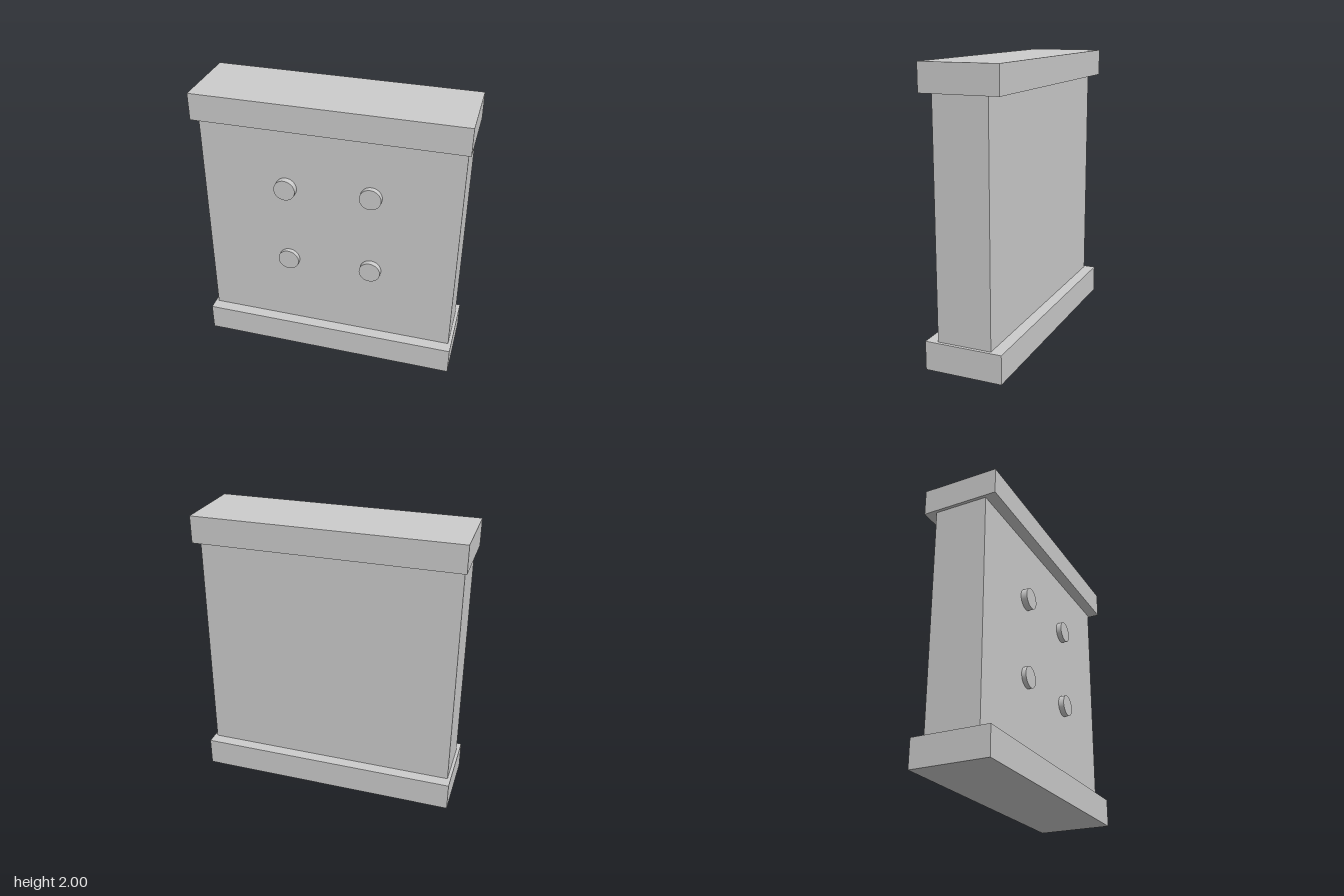
import * as THREE from 'three';

export function createModel() {
  const group = new THREE.Group();
  const material = new THREE.MeshStandardMaterial({ color: 0xcccccc });

  const add = (name, geometry, x, y, z) => {
    const mesh = new THREE.Mesh(geometry, material);
    mesh.name = name;
    mesh.position.set(x, y, z);
    group.add(mesh);
  };

  // Plinth, wall slab and coping
  add('base', new THREE.BoxGeometry(1.86, 0.2, 0.545), 0, 0.1, 0);
  add('wallPanel', new THREE.BoxGeometry(1.815, 1.61, 0.38), 0, 1.005, 0);
  add('topCap', new THREE.BoxGeometry(1.86, 0.19, 0.545), 0, 1.905, 0);

  // Four round studs on the front face, slightly uneven: x, y, front z
  const studs = [
    [-0.305, 1.34, 0.235],
    [0.297, 1.362, 0.228],
    [-0.297, 0.747, 0.222],
    [0.307, 0.76, 0.23],
  ];
  const depth = 0.06;
  const studGeometry = new THREE.CylinderGeometry(0.076, 0.076, depth, 48).rotateX(Math.PI / 2);
  studs.forEach(([x, y, front], i) => add(`stud${i + 1}`, studGeometry, x, y, front - depth / 2));

  return group;
}
